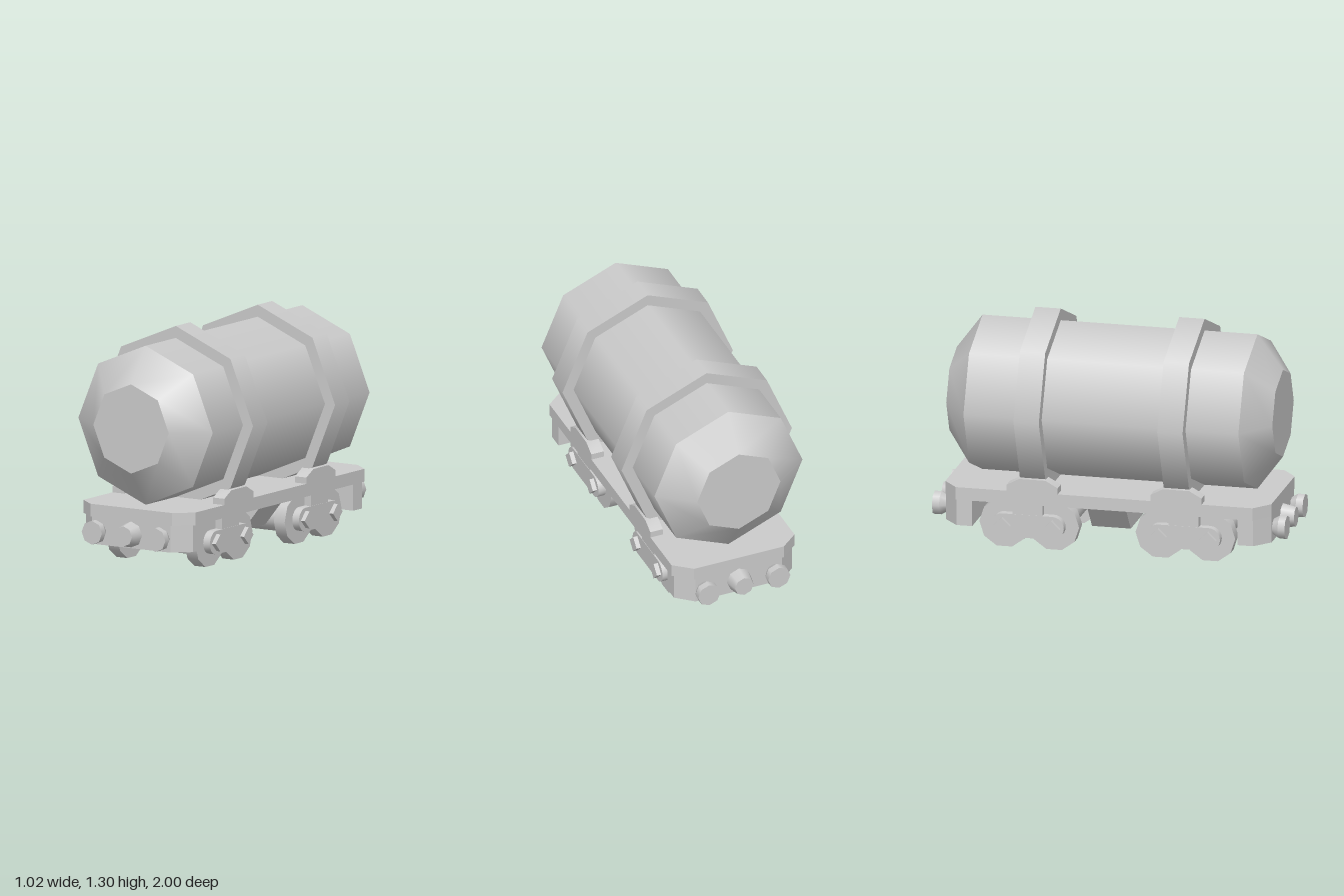
import * as THREE from 'three';
import { toCreasedNormals } from 'three/addons/utils/BufferGeometryUtils.js';

const smooth = new THREE.MeshStandardMaterial({ color: 0xcccccc });
const flat = new THREE.MeshStandardMaterial({ color: 0xcccccc, flatShading: true });

function add(parent, name, geometry, x = 0, y = 0, z = 0, material = smooth) {
  const mesh = new THREE.Mesh(geometry, material);
  mesh.name = name;
  mesh.position.set(x, y, z);
  parent.add(mesh);
  return mesh;
}

function extrude(shape, depth) {
  return new THREE.ExtrudeGeometry(shape, { depth, bevelEnabled: false, curveSegments: 6 })
    .translate(0, 0, -depth / 2);
}

const polygon = (points) => new THREE.Shape(points.map(([a, b]) => new THREE.Vector2(a, b)));

// Side profile in (z, y), given a width along x
const sideProfile = (shape, width) => toCreasedNormals(extrude(shape, width).rotateY(-Math.PI / 2), 0.7);

// Plan outline in (x, z), given a height along y
const plan = (points, height) => extrude(polygon(points), height).rotateX(Math.PI / 2);

// Cylinders lying along z (first radius at +z) and along x
const alongZ = (rFront, rBack, length, open = false) =>
  new THREE.CylinderGeometry(rFront, rBack, length, 8, 1, open).rotateX(Math.PI / 2);
const alongX = (r, length, sides) =>
  new THREE.CylinderGeometry(r, r, length, sides).rotateZ(Math.PI / 2);

// Two half circles joined by straight edges
function stadium(halfSpan, r) {
  const s = new THREE.Shape();
  s.absarc(halfSpan, 0, r, -Math.PI / 2, Math.PI / 2, false);
  s.absarc(-halfSpan, 0, r, Math.PI / 2, Math.PI * 1.5, false);
  s.closePath();
  return s;
}

function makeTank() {
  const tank = new THREE.Group();
  tank.name = 'tank';
  tank.position.y = 0.787;
  add(tank, 'tankBody', alongZ(0.445, 0.445, 1.56, true));
  for (const s of [1, -1]) {
    const end = add(tank, 'tankEnd', alongZ(0.25, 0.445, 0.145), 0, 0, s * 0.8525);
    if (s < 0) end.rotation.y = Math.PI;
    add(tank, 'tankBand', alongZ(0.512, 0.512, 0.144), 0, 0, s * 0.408);
  }
  return tank;
}

// Wheel set: four wheels, a central housing and bolted side frames
function makeBogie() {
  const bogie = new THREE.Group();
  bogie.name = 'bogie';
  const span = 0.141, axleY = 0.135;
  add(bogie, 'axleHousing', sideProfile(stadium(span, 0.08), 0.46), 0, axleY);
  for (const side of [1, -1]) {
    add(bogie, 'sideFrame', sideProfile(stadium(span, 0.066), 0.047), side * 0.316, axleY);
    add(bogie, 'frameHanger', new THREE.BoxGeometry(0.045, 0.14, 0.17), side * 0.315, 0.205);
    for (const end of [1, -1]) {
      add(bogie, 'wheel', alongX(0.142, 0.072, 10), side * 0.259, axleY, end * span);
      add(bogie, 'axleBolt', alongX(0.048, 0.03, 4), side * 0.35, axleY, end * span, flat);
    }
  }
  return bogie;
}

// End beam with two bumpers and a tapered coupler, facing +z
function makeEndBeam() {
  const beam = new THREE.Group();
  beam.name = 'endBeam';
  add(beam, 'beam', plan([[-0.355, 0.752], [0.355, 0.752], [0.355, 0.842],
    [0.26, 0.924], [-0.26, 0.924], [-0.355, 0.842]], 0.155), 0, 0.1975);
  for (const side of [1, -1]) {
    add(beam, 'bumperStem', alongZ(0.067, 0.042, 0.04), side * 0.21, 0.197, 0.94);
    add(beam, 'bumperHead', alongZ(0.067, 0.067, 0.04), side * 0.21, 0.197, 0.98);
  }
  add(beam, 'coupler', alongZ(0.056, 0.073, 0.08), 0, 0.197, 0.96);
  return beam;
}

export function createModel() {
  const model = new THREE.Group();
  model.name = 'tankWagon';
  model.add(makeTank());

  // Deck with chamfered corners
  add(model, 'deck', plan([[-0.37, -0.842], [-0.27, -0.925], [0.27, -0.925], [0.37, -0.842],
    [0.37, 0.842], [0.27, 0.925], [-0.27, 0.925], [-0.37, 0.842]], 0.072), 0, 0.307);

  // Tapered box under the middle of the deck
  add(model, 'underbox', extrude(polygon([[-0.2, 0.122], [0.2, 0.122], [0.32, 0.272], [-0.32, 0.272]]), 0.22));

  // Saddles on the deck edges, wheel sets and end beams
  const saddle = sideProfile(polygon([[-0.145, 0.34], [0.145, 0.34], [0.145, 0.378],
    [0.075, 0.416], [-0.075, 0.416], [-0.145, 0.378]]), 0.075);
  for (const end of [1, -1]) {
    const bogie = makeBogie();
    bogie.position.z = end * 0.443;
    const beam = makeEndBeam();
    if (end < 0) beam.rotation.y = Math.PI;
    model.add(bogie, beam);
    for (const side of [1, -1]) add(model, 'saddle', saddle, side * 0.333, 0, end * 0.408);
  }
  return model;
}
